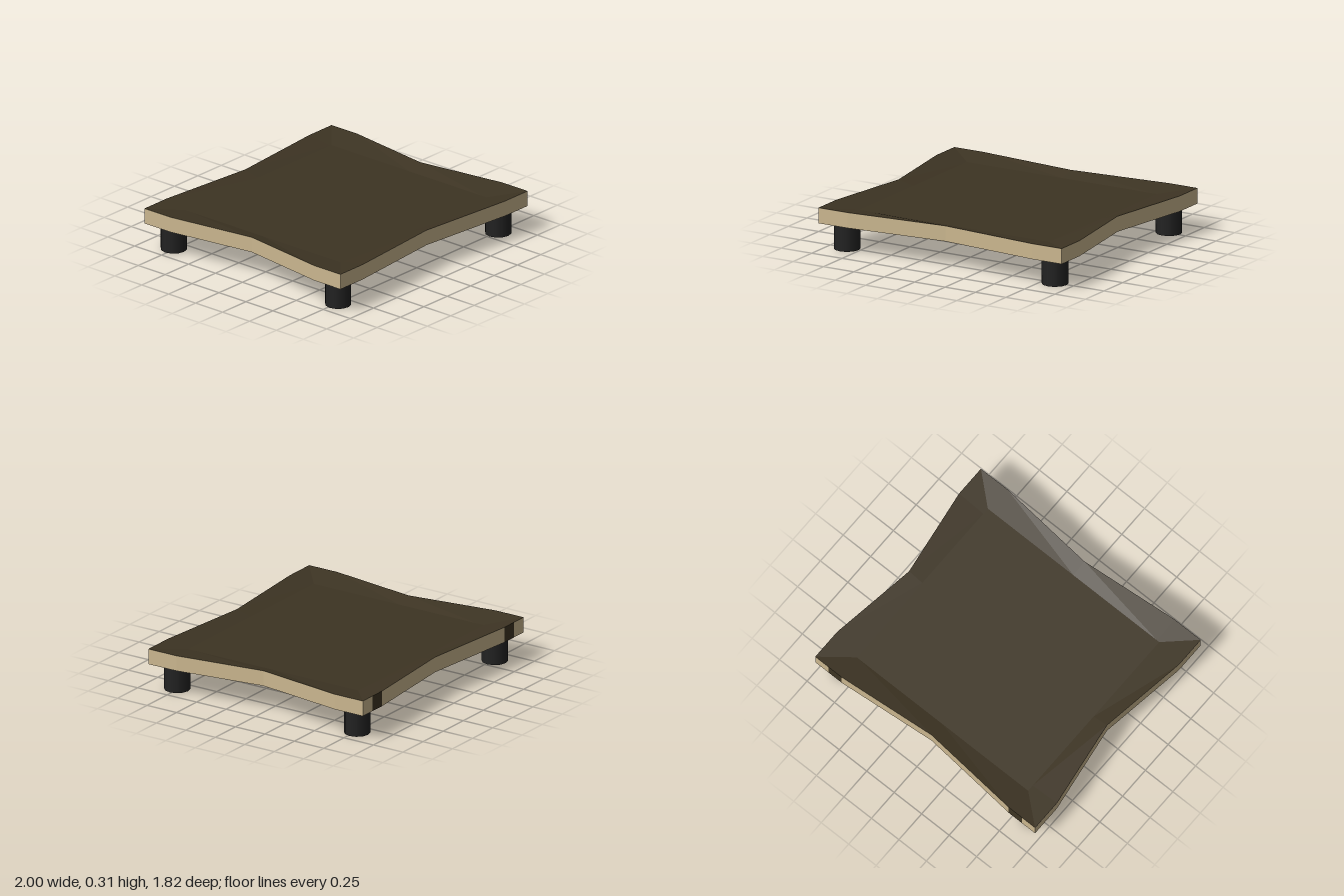
import * as THREE from 'three';

const TOP = 0.31, BASE = 0.197, FLOOR = 0.28;

export function createModel() {
  const group = new THREE.Group();
  const darkWood = new THREE.MeshStandardMaterial({ color: 0x3d3423 });
  darkWood.name = 'darkWood';
  const paleEdge = new THREE.MeshStandardMaterial({ color: 0xcbb78f });
  paleEdge.name = 'paleEdge';
  const blackLeg = new THREE.MeshStandardMaterial({ color: 0x222222 });
  blackLeg.name = 'blackLeg';

  // Waisted outline, clockwise from above: front, left, back, right
  const half = [
    [1, 0.91], [0.88, 0.91], [0.76, 0.91], [0, 0.84], [-0.76, 0.91], [-0.88, 0.91],
    [-1, 0.91], [-1, 0.67], [-0.9, 0], [-1, -0.67],
  ];
  const outline = [...half, ...half.map(([x, z]) => [-x, -z])];

  const at = ([x, z], y) => [x, y, z];
  const inset = ([x, z]) => [
    THREE.MathUtils.clamp(x, -0.78, 0.78),
    THREE.MathUtils.clamp(z, -0.72, 0.72),
  ];
  // The back edge has a dark notch near each corner
  const isNotch = (a, b) => {
    const mid = Math.abs(a[0] + b[0]) / 2;
    return a[1] === -0.91 && b[1] === -0.91 && mid > 0.76 && mid < 0.88;
  };

  const surface = [], edge = [], notch = [];
  const tri = (list, a, b, c) => list.push(...a, ...b, ...c);
  const quad = (list, a, b, c, d) => { tri(list, a, b, c); tri(list, a, c, d); };

  outline.forEach((a, i) => {
    const b = outline[(i + 1) % outline.length];
    const ia = inset(a), ib = inset(b);
    quad(isNotch(a, b) ? notch : edge, at(a, TOP), at(b, TOP), at(b, BASE), at(a, BASE));
    quad(surface, at(a, TOP), at(ia, FLOOR), at(ib, FLOOR), at(b, TOP)); // sloping rim
    tri(surface, [0, FLOOR, 0], at(ib, FLOOR), at(ia, FLOOR)); // sunken floor
    tri(surface, [0, BASE, 0], at(a, BASE), at(b, BASE)); // underside
  });

  const addFaces = (name, list, material) => {
    const geometry = new THREE.BufferGeometry();
    geometry.setAttribute('position', new THREE.Float32BufferAttribute(list, 3));
    geometry.computeVertexNormals();
    const mesh = new THREE.Mesh(geometry, material);
    mesh.name = name;
    group.add(mesh);
  };
  addFaces('dishedPanel', surface, darkWood);
  addFaces('panelEdge', edge, paleEdge);
  addFaces('backNotches', notch, darkWood);

  // Four stubby round legs
  const legGeometry = new THREE.CylinderGeometry(0.093, 0.093, BASE, 12);
  for (const x of [-0.855, 0.855]) {
    for (const z of [-0.763, 0.763]) {
      const leg = new THREE.Mesh(legGeometry, blackLeg);
      leg.name = `${z > 0 ? 'front' : 'back'}${x > 0 ? 'Left' : 'Right'}Leg`;
      leg.position.set(x, BASE / 2, z);
      group.add(leg);
    }
  }
  return group;
}
